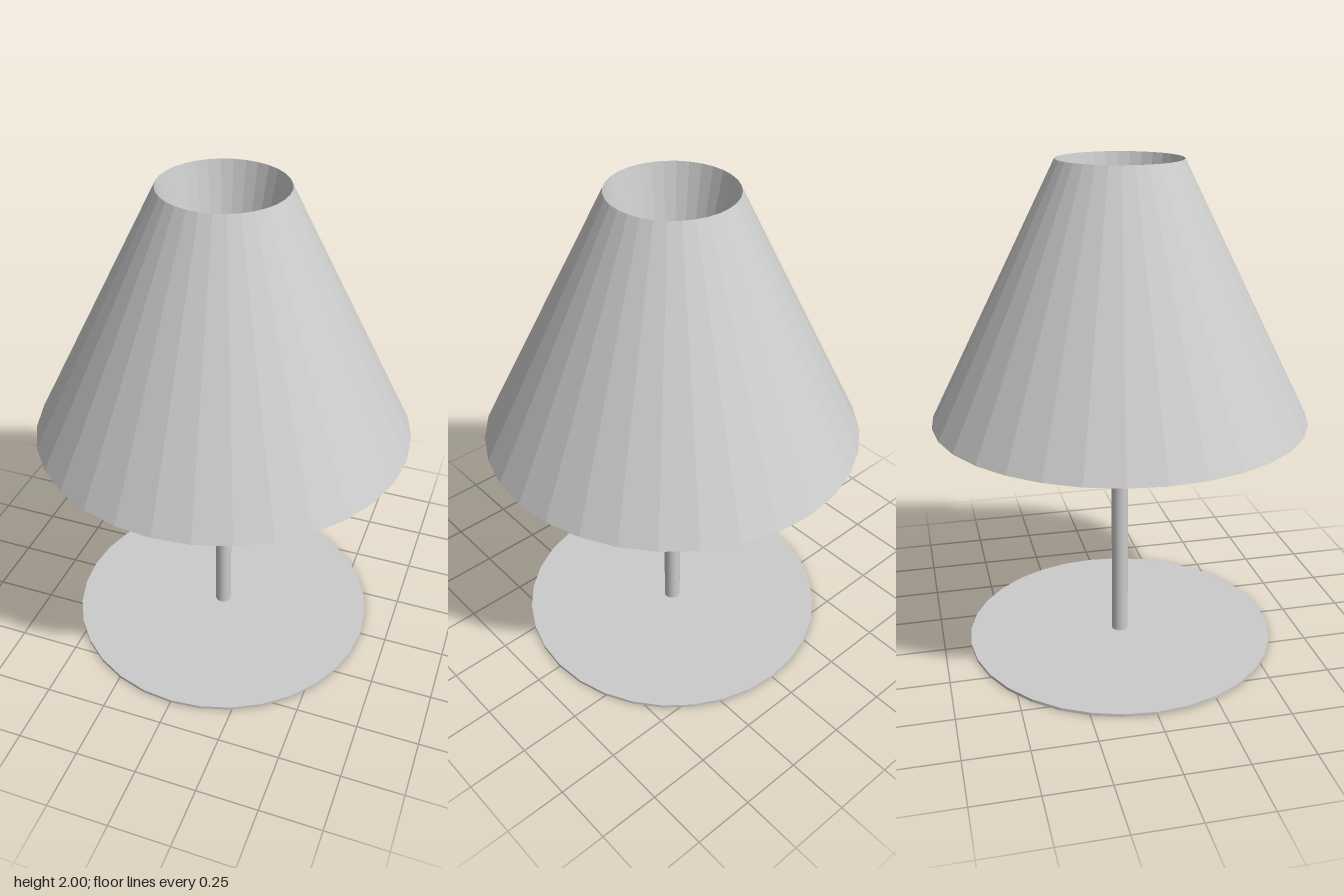
import * as THREE from 'three';

const SIDES = 32;

export function createModel() {
  const lamp = new THREE.Group();
  lamp.name = 'tableLamp';
  const faceted = new THREE.MeshStandardMaterial({ color: 0xcccccc, flatShading: true });
  const smooth = new THREE.MeshStandardMaterial({ color: 0xcccccc });

  const add = (name, geometry, material, y = 0) => {
    const mesh = new THREE.Mesh(geometry, material);
    mesh.name = name;
    mesh.position.y = y;
    lamp.add(mesh);
  };

  // Upright cylinder standing between two heights
  const disc = (radius, y0, y1) => [new THREE.CylinderGeometry(radius, radius, y1 - y0, SIDES), (y0 + y1) / 2];

  // Thin round foot
  const [foot, footY] = disc(0.64, 0, 0.012);
  add('base', foot, faceted, footY);

  // Slim pole up to the underside of the shade
  const [pole, poleY] = disc(0.034, 0.012, 0.99);
  add('pole', pole, smooth, poleY);

  // Conical shade: closed underside, sloping wall, funnel sunk in from the top rim
  const profile = [[0, 0.985], [0.75, 0.985], [0.245, 2], [0.018, 1], [0, 1]]
    .map(([r, y]) => new THREE.Vector2(r, y));
  add('shade', new THREE.LatheGeometry(profile, SIDES), faceted);

  return lamp;
}
